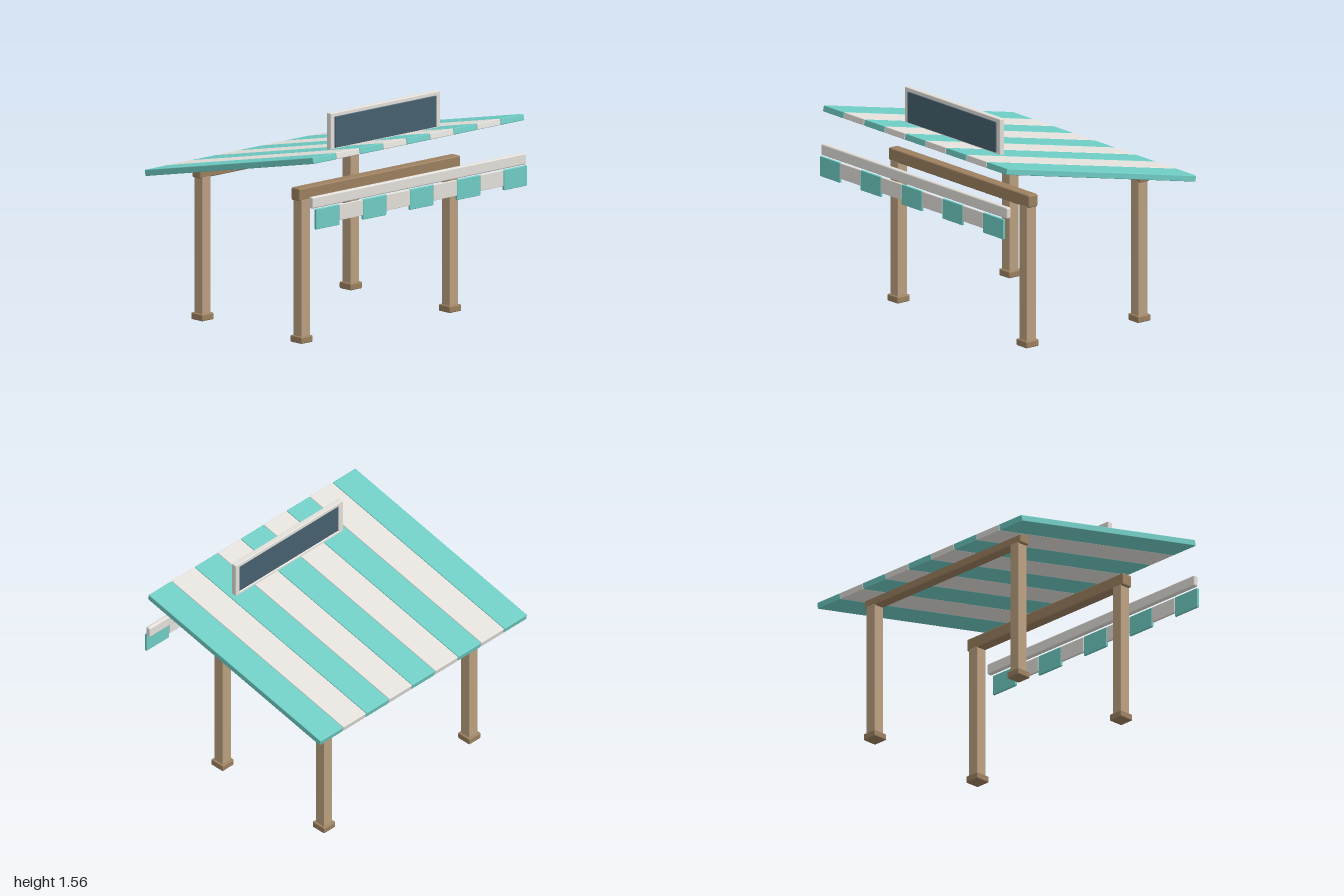
import * as THREE from 'three';
import { RoundedBoxGeometry } from 'three/addons/geometries/RoundedBoxGeometry.js';

const mat = (color) => new THREE.MeshStandardMaterial({ color });

export function createModel() {
  const model = new THREE.Group();
  model.name = 'stripedCanopy';
  const teal = mat(0x6fcdc5), white = mat(0xe4e1dc), slate = mat(0x46606f);
  const wood = mat(0xbba080), darkWood = mat(0x9c8060);

  // Softly bevelled box given by its size and centre
  const block = (parent, name, material, [w, h, d], [x, y, z], r = 0.008) => {
    const mesh = new THREE.Mesh(new RoundedBoxGeometry(w, h, d, 2, r), material);
    mesh.name = name;
    mesh.position.set(x, y, z);
    parent.add(mesh);
    return mesh;
  };

  // Timber frame: two rows of posts, each carrying a beam
  for (const [row, z] of [['front', 0.39], ['back', -0.575]]) {
    for (const [side, x] of [['Left', 0.69], ['Right', -0.69]]) {
      block(model, `${row}${side}Post`, wood, [0.08, 0.96, 0.08], [x, 0.51, z], 0.004);
      block(model, `${row}${side}Foot`, darkWood, [0.11, 0.047, 0.11], [x, 0.0235, z]);
    }
    block(model, `${row}Beam`, darkWood, [1.5, 0.088, 0.08], [0, 1.025, z], 0.01);
  }

  // Sloping roof of striped planks, with matching valance flaps
  const roof = new THREE.Group();
  roof.name = 'roof';
  roof.position.set(0, 1.185, -0.012);
  roof.rotation.x = -THREE.MathUtils.degToRad(12);
  const valance = new THREE.Group();
  valance.name = 'valance';
  model.add(roof, valance);
  const pitch = 0.2185;
  for (let i = 0; i < 9; i++) {
    const x = (i - 4) * pitch;
    const isTeal = i % 2 === 0;
    const stripe = isTeal ? teal : white;
    block(roof, 'roofStripe', stripe, [pitch - 0.002, 0.043, 1.673], [x, 0, 0], 0.005);
    const drop = isTeal ? 0.14 : 0.11;
    block(valance, 'valanceFlap', stripe, [pitch - 0.002, drop, 0.018], [x, 1.03 - drop / 2, 0.829], 0.004);
  }

  // Rail above the flaps
  block(model, 'frontRail', white, [1.99, 0.078, 0.036], [0, 1.07, 0.798], 0.01);

  // Blank sign board standing on the roof: four bars around a panel
  const sign = new THREE.Group();
  sign.name = 'signBoard';
  sign.position.set(0, 1.425, 0.465);
  model.add(sign);
  for (const s of [-1, 1]) {
    block(sign, 'signSideBar', white, [0.04, 0.27, 0.04], [s * 0.49, 0, 0], 0.006);
    block(sign, 'signCrossBar', white, [1.02, 0.03, 0.04], [0, s * 0.12, 0], 0.006);
  }
  block(sign, 'signPanel', slate, [0.942, 0.214, 0.036], [0, 0, 0.007], 0.003);

  return model;
}
